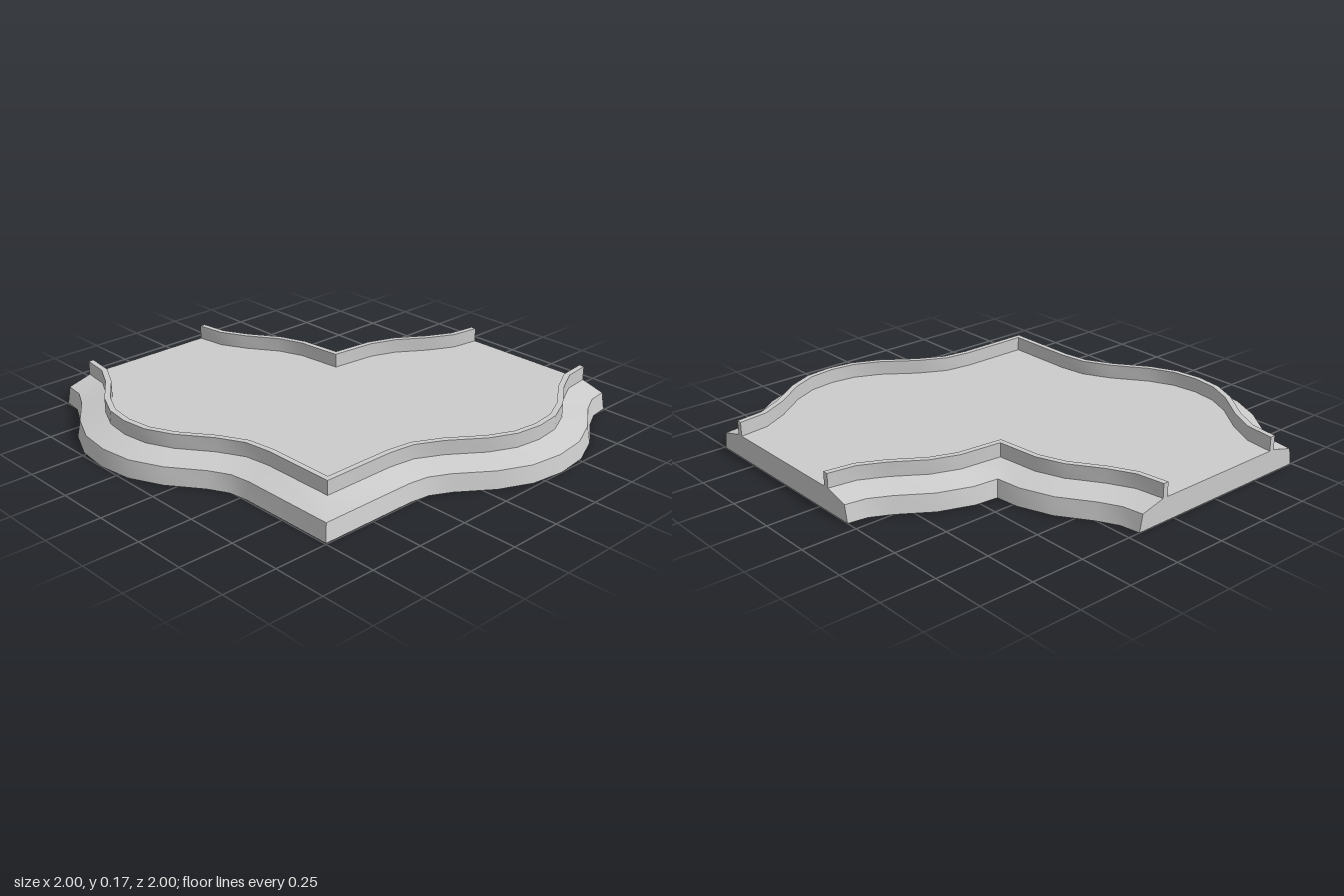
import * as THREE from 'three';
import { toCreasedNormals } from 'three/addons/utils/BufferGeometryUtils.js';

const material = new THREE.MeshStandardMaterial({ color: 0xcccccc, side: THREE.DoubleSide });
const FLOOR = 0.107;
// border cross-section: [distance inward, height] - skirt, sloping ledge, low wall
const PROFILE = [[0, 0], [0.015, 0.077], [0.127, FLOOR], [0.127, 0.172], [0.153, 0.172], [0.153, FLOOR]];

// half of a border plus its reflection across the plan's diagonal
function reflectPath(half) {
  const other = half.slice(0, -1).reverse().map(([x, z]) => [-z, -x]);
  return [...half, ...other];
}

// plan path shifted inward by d, with mitred corners and square-cut ends
function offsetPath(path, d) {
  const dir = (a, b) => {
    const l = Math.hypot(b[0] - a[0], b[1] - a[1]);
    return [(b[0] - a[0]) / l, (b[1] - a[1]) / l];
  };
  const last = path.length - 1;
  return path.map((p, i) => {
    let a = i > 0 ? dir(path[i - 1], p) : dir(p, path[1]).map(Math.round);
    let b = i < last ? dir(p, path[i + 1]) : dir(path[i - 1], p).map(Math.round);
    if (i === 0) b = a;
    if (i === last) a = b;
    const k = d / (1 + a[0] * b[0] + a[1] * b[1]);
    return [p[0] + (a[1] + b[1]) * k, p[1] - (a[0] + b[0]) * k];
  });
}

// sweep the cross-section along a plan path
function border(path, name) {
  const positions = [];
  const index = [];
  const n = path.length;
  PROFILE.forEach(([d, y], i) => {
    offsetPath(path, d).forEach(([x, z], j) => {
      positions.push(x, y, z);
      if (i < PROFILE.length - 1 && j < n - 1) {
        const a = i * n + j;
        index.push(a, a + 1, a + n, a + 1, a + n + 1, a + n);
      }
    });
  });
  const geometry = new THREE.BufferGeometry();
  geometry.setAttribute('position', new THREE.Float32BufferAttribute(positions, 3));
  geometry.setIndex(index);
  return named(toCreasedNormals(geometry, 0.6), name);
}

function named(geometry, name) {
  const mesh = new THREE.Mesh(geometry, material);
  mesh.name = name;
  return mesh;
}

const flat = (points) => new THREE.ShapeGeometry(new THREE.Shape(points.map(([x, y]) => new THREE.Vector2(x, y))));

export function createModel() {
  const group = new THREE.Group();
  group.name = 'cornerTray';

  // outer border: a rounded lobe, then a straight run to the corner
  const lobe = [[0.64, 0.745], [0.55, 0.757], [0.46, 0.803], [0.31, 0.912], [0.16, 0.98], [0, 1]];
  const outer = reflectPath([
    ...lobe.map(([u, w]) => [-w, -0.36 - u]),
    ...lobe.slice(0, -1).reverse().map(([u, w]) => [-w, -0.36 + u]),
    [-0.745, 0.745],
  ]);

  // inner border: two half lobes meeting at the notch
  const inner = reflectPath([
    [1, -0.192], [0.91, -0.205], [0.82, -0.25], [0.675, -0.347], [0.52, -0.403], [0.413, -0.413],
  ]);

  group.add(border(outer, 'outerBorder'), border(inner, 'innerBorder'));

  // floor spans between the inner faces of both walls
  const inset = PROFILE[PROFILE.length - 1][0];
  const outline = [...offsetPath(outer, inset), ...offsetPath(inner, inset)];
  const floor = flat(outline.map(([x, z]) => [x, -z])).rotateX(-Math.PI / 2).translate(0, FLOOR, 0);
  group.add(named(floor, 'floor'));

  // flat end faces closing the two cut sides
  const section = [
    ...PROFILE.map(([d, y]) => [-0.745 + d, y]),
    ...PROFILE.map(([d, y]) => [0.192 - d, y]).reverse(),
  ];
  const rightEnd = flat(section).translate(0, 0, 1).rotateY(Math.PI / 2);
  const backEnd = flat(section.map(([x, y]) => [-x, y])).translate(0, 0, 1).rotateY(Math.PI);
  group.add(named(rightEnd, 'sideEndFace'), named(backEnd, 'backEndFace'));

  return group;
}
